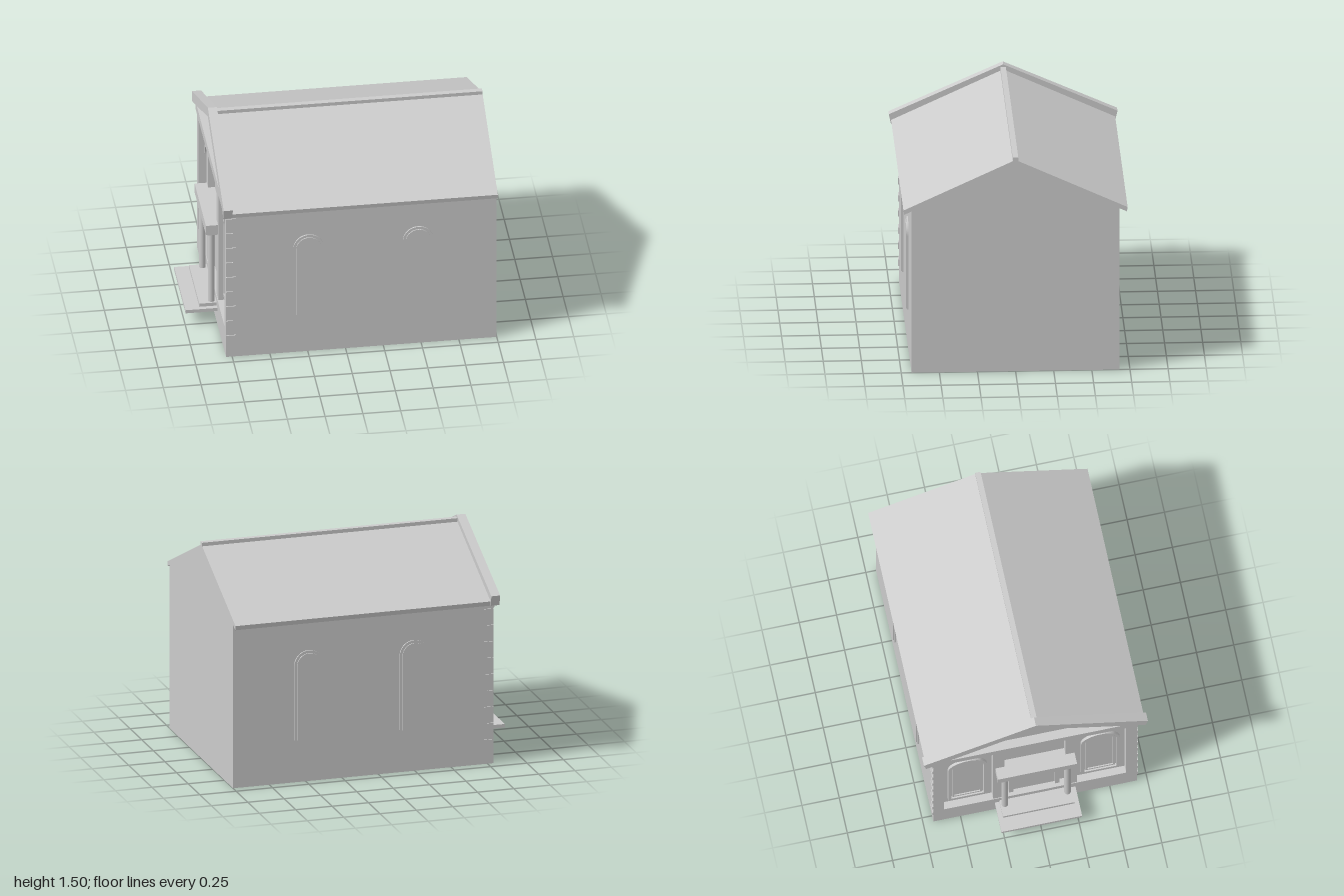
import * as THREE from 'three';

export function createModel() {
  const model = new THREE.Group();
  const plaster = new THREE.MeshStandardMaterial({ color: 0xcccccc });
  plaster.name = 'pale grey plaster';

  const add = (name, geometry, parent = model) => {
    const mesh = new THREE.Mesh(geometry, plaster);
    mesh.name = name;
    parent.add(mesh);
    return mesh;
  };

  // Box given by its limits on each axis
  const box = (name, x0, x1, y0, y1, z0, z1) => {
    const mesh = add(name, new THREE.BoxGeometry(x1 - x0, y1 - y0, z1 - z0));
    mesh.position.set((x0 + x1) / 2, (y0 + y1) / 2, (z0 + z1) / 2);
    return mesh;
  };

  // Gable-shaped section in (z, y), mirrored about the ridge and run along x
  const alongX = (name, half, x0, x1) => {
    const mirrored = half.filter(([z]) => z !== 0).map(([z, y]) => [-z, y]);
    const [top, ...rest] = half;
    const last = rest[rest.length - 1];
    const loop = last[0] === 0
      ? [top, ...rest, ...mirrored.reverse()]
      : [...half, ...mirrored.reverse()];
    const shape = new THREE.Shape(loop.map(([z, y]) => new THREE.Vector2(z, y)));
    const geometry = new THREE.ExtrudeGeometry(shape, { depth: x1 - x0, bevelEnabled: false });
    geometry.rotateY(Math.PI / 2).translate(x0, 0, 0);
    return add(name, geometry);
  };

  // Round-headed outline
  const archPath = (Type, w, y0, y1) => {
    const path = new Type();
    const r = w / 2;
    path.moveTo(-r, y0);
    path.lineTo(r, y0);
    path.lineTo(r, y1 - r);
    path.absarc(0, y1 - r, r, 0, Math.PI, false);
    path.lineTo(-r, y0);
    return path;
  };
  const archPlate = (name, w, y0, y1, depth, parent, hole) => {
    const shape = archPath(THREE.Shape, w, y0, y1);
    if (hole) shape.holes.push(archPath(THREE.Path, w - 2 * hole, y0 + hole, y1 - hole));
    return add(name, new THREE.ExtrudeGeometry(shape,
      { depth, bevelEnabled: false, curveSegments: 16 }), parent);
  };

  // Main body, plinth and roof
  alongX('walls', [[0, 1.44], [0.682, 1.124], [0.682, 0]], -0.74, 1);
  box('plinth', -0.79, -0.74, 0, 0.19, -0.682, 0.682);
  alongX('roof', [[0, 1.47], [0.735, 1.13], [0.73, 1.1], [0, 1.44]], -0.756, 1);
  box('ridgeCap', -0.77, 1, 1.46, 1.486, -0.018, 0.018);
  alongX('gableTrim', [[0, 1.505], [0.75, 1.17], [0.735, 1.1], [0, 1.435]], -0.815, -0.755);
  box('facadeBeam', -0.8, -0.74, 1.07, 1.13, -0.68, 0.68);

  for (const s of [-1, 1]) {
    // Facade pilasters
    const strip = (name, x0, y0, y1, za, zb) =>
      box(name, x0, -0.74, y0, y1, Math.min(s * za, s * zb), Math.max(s * za, s * zb));
    strip('cornerPilaster', -0.79, 0.19, 1.12, 0.61, 0.682);
    strip('innerPilaster', -0.785, 0.19, 1.07, 0.205, 0.28);

    // Alternating corner stones
    for (let i = 0; i < 9; i++) {
      const y = 0.145 + i * 0.1122;
      box('cornerStone', -0.79, i % 2 ? -0.745 : -0.725, y - 0.022, y + 0.022,
        s > 0 ? 0.67 : -0.689, s > 0 ? 0.689 : -0.67);
    }

    // Side windows with stepped surrounds
    for (const x of [-0.245, 0.48]) {
      const win = new THREE.Group();
      win.name = 'sideWindow';
      win.position.set(x, 0, s * 0.675);
      if (s < 0) win.rotation.y = Math.PI;
      archPlate('windowSurround', 0.2, 0.29, 0.9, 0.016, win);
      archPlate('windowPanel', 0.165, 0.29, 0.882, 0.023, win);
      model.add(win);
    }

    // Facade windows with round-headed mouldings
    const win = new THREE.Group();
    win.name = 'facadeWindow';
    win.position.set(-0.738, 0, s * 0.445);
    win.rotation.y = -Math.PI / 2;
    archPlate('windowFrame', 0.26, 0.25, 0.93, 0.02, win, 0.022);
    archPlate('innerFrame', 0.2, 0.275, 0.9, 0.01, win, 0.015);
    model.add(win);

    // Porch columns with base and capital
    const column = add('porchColumn', new THREE.CylinderGeometry(0.022, 0.022, 0.52, 20));
    column.position.set(-0.822, 0.41, s * 0.21);
    const z = s * 0.21;
    box('columnCapital', -0.85, -0.785, 0.67, 0.69, z - 0.03, z + 0.03);
    strip('doorJamb', -0.765, 0.15, 0.66, 0.14, 0.17);
  }

  // Porch lintel, door and steps
  box('porchLintel', -0.865, -0.74, 0.69, 0.76, -0.265, 0.265);
  box('doorHead', -0.765, -0.74, 0.63, 0.66, -0.14, 0.14);
  box('door', -0.748, -0.739, 0.19, 0.63, -0.14, 0.14);
  box('upperStep', -0.905, -0.78, 0.122, 0.148, -0.24, 0.24);
  box('lowerStep', -1, -0.78, 0.1, 0.124, -0.27, 0.27);

  return model;
}
